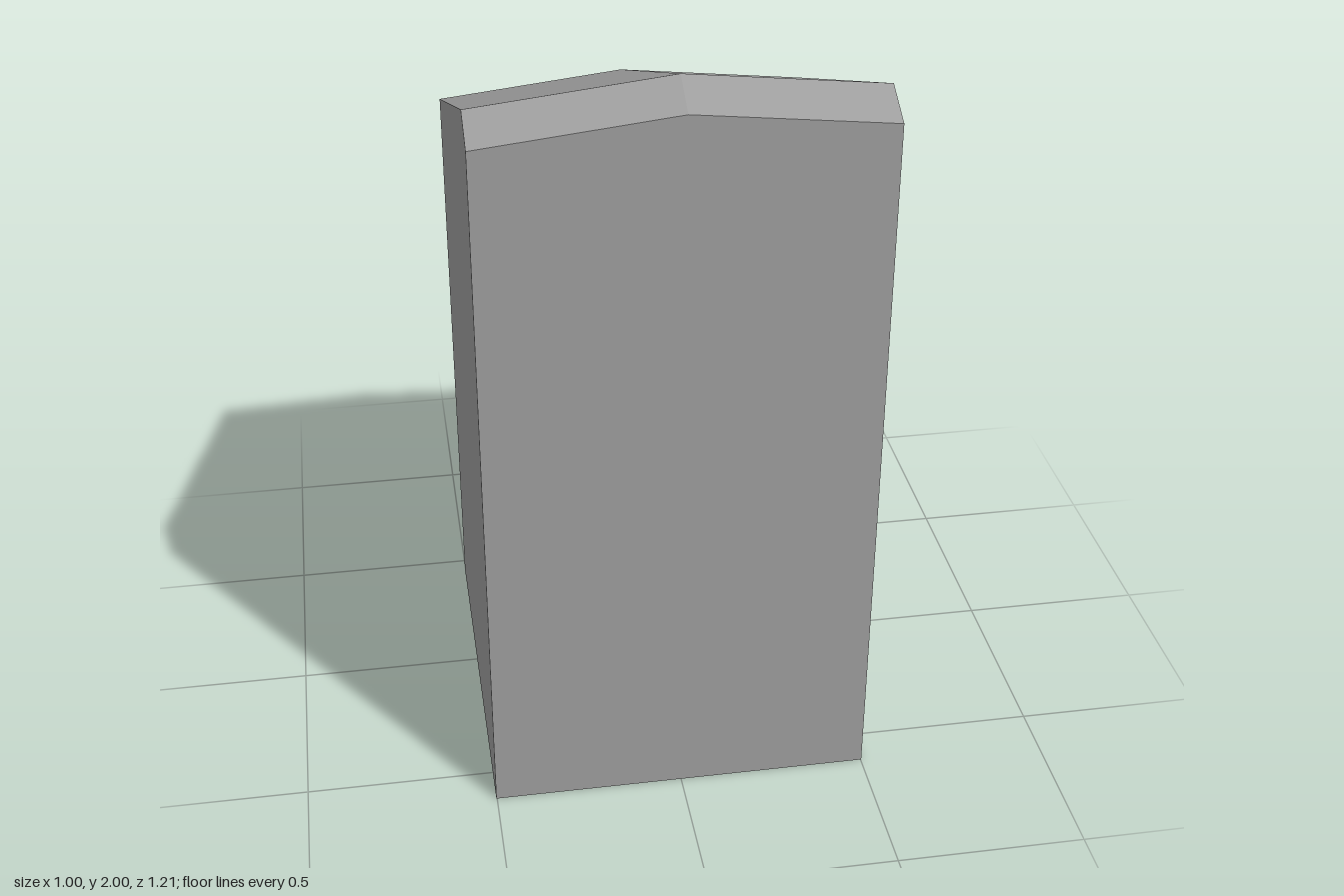
import * as THREE from 'three';

const GREY = new THREE.MeshStandardMaterial({ color: 0x9e9e9e, flatShading: true });
const GLASS = new THREE.MeshStandardMaterial({ color: 0xe6fafa, side: THREE.DoubleSide });

const BACK = -0.455, ANNEX_BACK = -0.605, SLOT_DEPTH = 0.065;
const SLOT_X = [-0.375, 0.375];
const SLOTS = [[1.15, 1.225], [0.96, 1.07]]; // bottom, top

function add(parent, name, geometry, material = GREY) {
  const mesh = new THREE.Mesh(geometry, material);
  mesh.name = name;
  parent.add(mesh);
  return mesh;
}

const polygon = (points) => new THREE.Shape(points.map(([x, y]) => new THREE.Vector2(x, y)));

// Side profile (z, y) extruded across x in two steps, then the top drops away from the ridge
function bodyGeometry() {
  const profile = polygon([[BACK, 0], [0.605, 0], [0.605, 1.943], [0.5, 2], [BACK, 1.635]]);
  const geo = new THREE.ExtrudeGeometry(profile, { depth: 1.004, steps: 2, bevelEnabled: false });
  geo.rotateY(-Math.PI / 2).translate(0.502, 0, 0);
  const p = geo.attributes.position;
  for (let i = 0; i < p.count; i++) {
    if (p.getY(i) > 0.1) p.setY(i, p.getY(i) - 0.11 * Math.abs(p.getX(i)));
  }
  geo.computeVertexNormals();
  return geo;
}

// Slab of the rear annex between two depths, optionally pierced by the slots
function annexSlab(z0, z1, pierced) {
  const outline = polygon([[-0.403, 0], [0.4, 0], [0.4, 1.37], [-0.403, 1.38]]);
  if (pierced) {
    const [x0, x1] = SLOT_X;
    for (const [y0, y1] of SLOTS) {
      outline.holes.push(polygon([[x0, y0], [x0, y1], [x1, y1], [x1, y0]]));
    }
  }
  return new THREE.ExtrudeGeometry(outline, { depth: z1 - z0, bevelEnabled: false }).translate(0, 0, z0);
}

// Box without its rear (-z) face, lining a slot
function linerGeometry([y0, y1]) {
  const inset = 0.002;
  const geo = new THREE.BoxGeometry(SLOT_X[1] - SLOT_X[0] - inset, y1 - y0 - inset, SLOT_DEPTH - inset);
  geo.setIndex(Array.from(geo.index.array).slice(0, 30));
  geo.clearGroups();
  return geo.translate(0, (y0 + y1) / 2, ANNEX_BACK + SLOT_DEPTH / 2);
}

export function createModel() {
  const model = new THREE.Group();
  model.name = 'building';

  // Main block with sloping roof
  add(model, 'mainBlock', bodyGeometry());

  // Rear annex: solid core plus pierced outer wall
  const annex = new THREE.Group();
  annex.name = 'rearAnnex';
  const slotBack = ANNEX_BACK + SLOT_DEPTH;
  add(annex, 'annexCore', annexSlab(slotBack, BACK, false));
  add(annex, 'annexWall', annexSlab(ANNEX_BACK, slotBack, true));

  // Recessed strip windows
  SLOTS.forEach((slot, i) => add(annex, `stripWindow${i + 1}`, linerGeometry(slot), GLASS));
  model.add(annex);

  return model;
}
